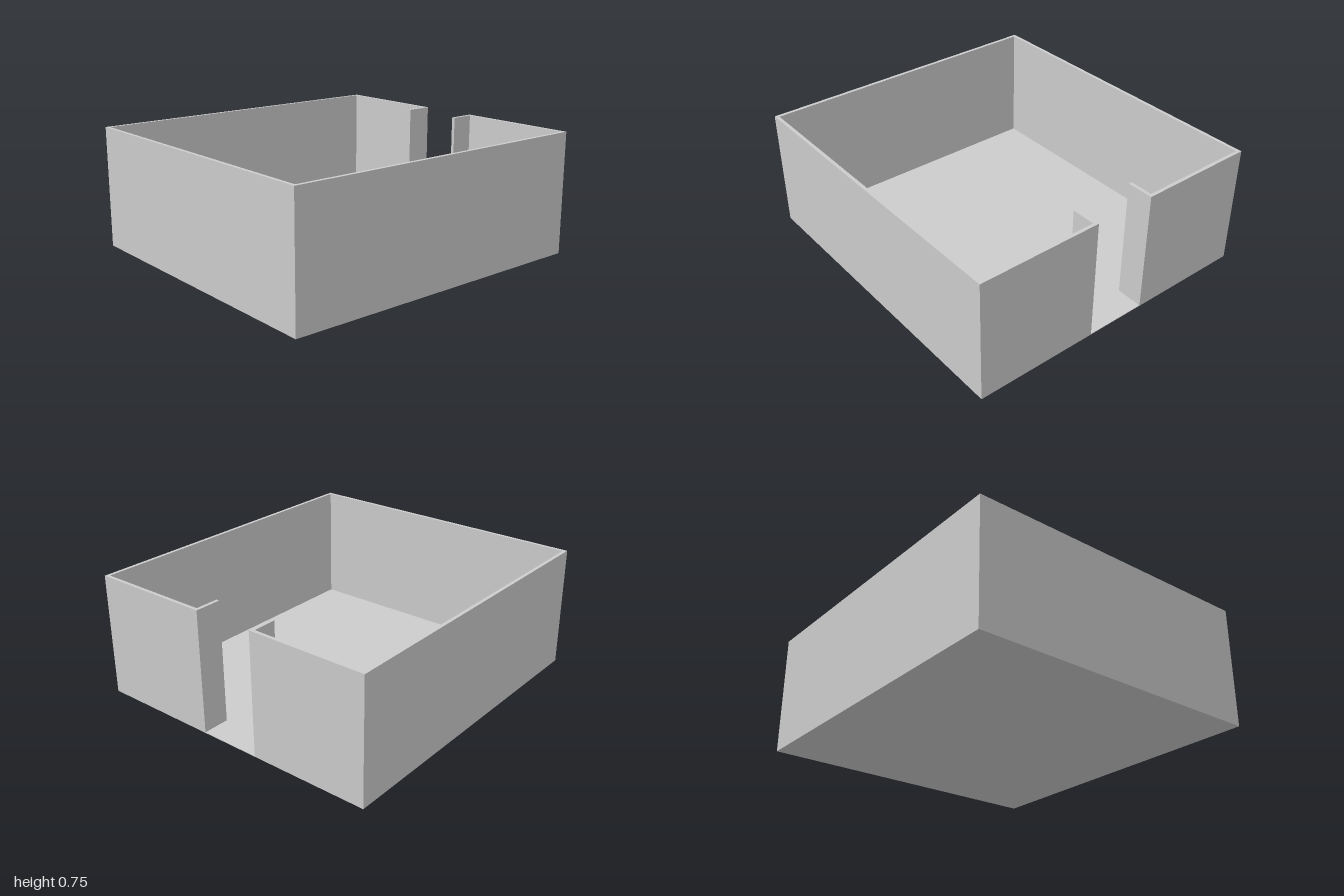
import * as THREE from 'three';

const W = 0.928, D = 1, H = 0.745; // half width, half depth, height
const T = 0.021;                   // wall thickness
const FLOOR = 0.004;               // floor thickness
const GAP = [-0.201, 0.175];       // doorway sides along the back wall
const JAMB_Z = -0.836;             // how far the door returns reach inward

export function createModel() {
  const model = new THREE.Group();
  model.name = 'openRoom';
  const material = new THREE.MeshStandardMaterial({ color: 0xcccccc, flatShading: true });

  // Floor slab
  const floor = new THREE.Mesh(new THREE.BoxGeometry(2 * W, FLOOR, 2 * D), material);
  floor.name = 'floor';
  floor.position.y = FLOOR / 2;
  model.add(floor);

  // Wall plan as one continuous strip (x, z): round the room from one doorway return to the other
  const [l, r] = GAP;
  const plan = [
    [l, JAMB_Z], [l, -D], [-W, -D], [-W, D], [W, D], [W, -D], [r, -D], [r, JAMB_Z],
    [r + T, JAMB_Z], [r + T, -D + T], [W - T, -D + T], [W - T, D - T],
    [-W + T, D - T], [-W + T, -D + T], [l - T, -D + T], [l - T, JAMB_Z],
  ];
  const shape = new THREE.Shape(plan.map(([x, z]) => new THREE.Vector2(x, -z)));
  const geometry = new THREE.ExtrudeGeometry(shape, { depth: H - FLOOR, bevelEnabled: false });
  geometry.rotateX(-Math.PI / 2); // plan lies flat, extruded upward
  const walls = new THREE.Mesh(geometry, material);
  walls.name = 'wallsWithDoorway';
  walls.position.y = FLOOR;
  model.add(walls);

  return model;
}
